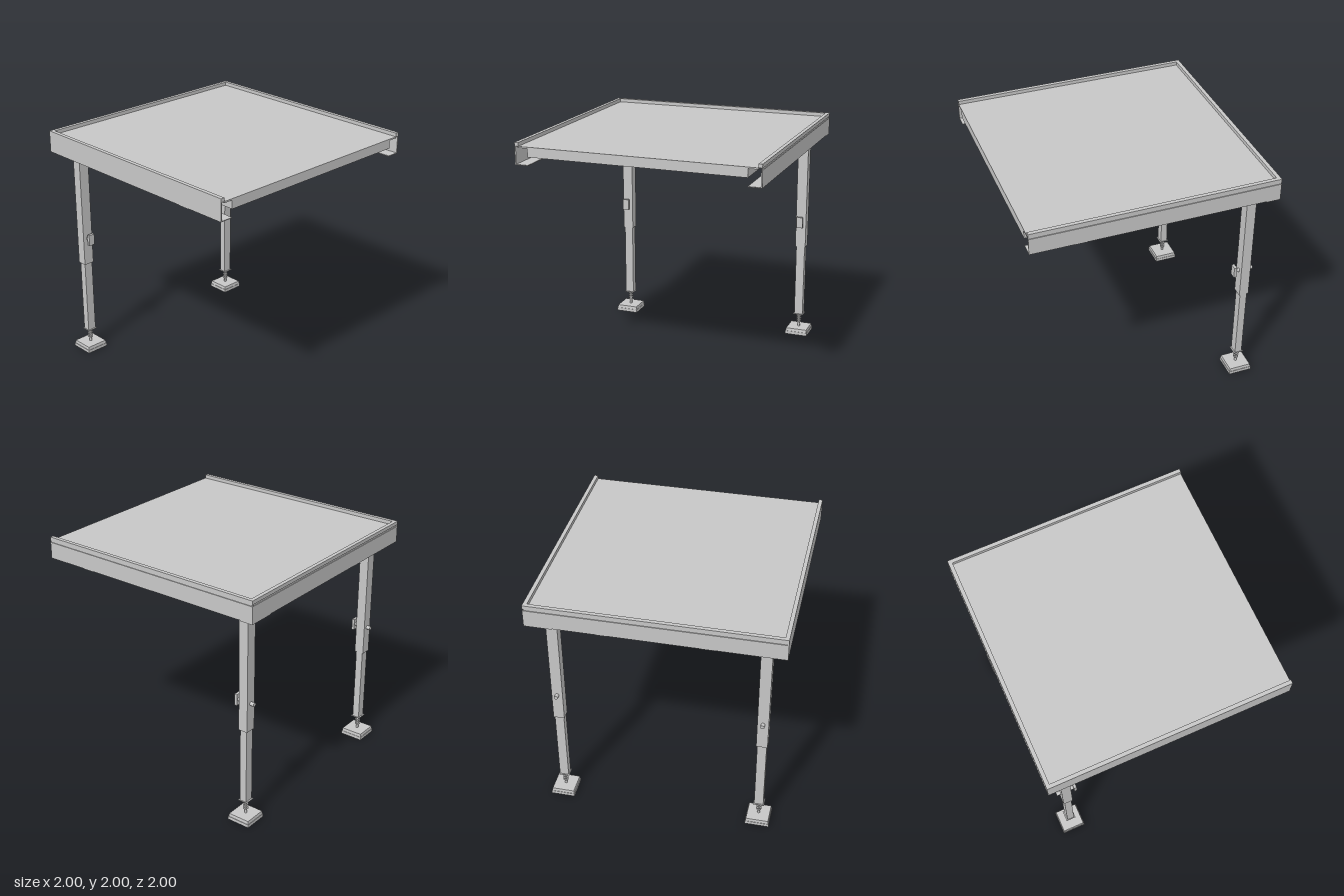
import * as THREE from 'three';

const metal = new THREE.MeshStandardMaterial({ color: 0xc7c7c7 });
metal.name = 'grey metal';

function add(parent, name, geometry, x = 0, y = 0, z = 0) {
  const mesh = new THREE.Mesh(geometry, metal);
  mesh.name = name;
  mesh.position.set(x, y, z);
  parent.add(mesh);
  return mesh;
}

// Box given by its limits on each axis
function block(parent, name, [x0, x1], [y0, y1], [z0, z1]) {
  return add(parent, name, new THREE.BoxGeometry(x1 - x0, y1 - y0, z1 - z0),
    (x0 + x1) / 2, (y0 + y1) / 2, (z0 + z1) / 2);
}

// Edge rail section: bottom flange, thin wall and top lip; u runs inward
function railGeometry(length, grooved) {
  const points = [[0, 0], [0.11, 0], [0.11, 0.006], [0.01, 0.006], [0.01, 0.15], [0.032, 0.15], [0.032, 0.18], [0, 0.18]];
  if (grooved) points.push([0, 0.15], [0.006, 0.15], [0.006, 0.135], [0, 0.135]);
  const shape = new THREE.Shape(points.map(([u, v]) => new THREE.Vector2(u, v)));
  return new THREE.ExtrudeGeometry(shape, { depth: length, bevelEnabled: false });
}

function makeLeg() {
  const leg = new THREE.Group();
  // Telescopic tubes and head
  block(leg, 'outerTube', [-0.04, 0.04], [0.82, 1.84], [-0.045, 0.045]);
  block(leg, 'innerTube', [-0.03, 0.03], [0.18, 0.84], [-0.0375, 0.0375]);
  block(leg, 'legHead', [-0.055, 0.055], [1.83, 1.89], [-0.057, 0.057]);
  block(leg, 'topCollar', [-0.07, 0.05], [1.805, 1.832], [-0.065, 0.075]);
  block(leg, 'latchTab', [-0.075, -0.052], [1.79, 1.826], [0.055, 0.115]);
  // Clamp bolt and its flat grip
  const bolt = add(leg, 'clampBolt', new THREE.CylinderGeometry(0.016, 0.016, 0.15, 16), 0, 1.057, 0);
  bolt.rotation.z = Math.PI / 2;
  block(leg, 'clampGrip', [0.072, 0.095], [1.01, 1.105], [-0.027, 0.027]);
  // Levelling screw with thread rings below a thin end plate
  add(leg, 'levellingScrew', new THREE.CylinderGeometry(0.011, 0.011, 0.14, 12), 0, 0.115, 0);
  block(leg, 'tubeEndPlate', [-0.042, 0.042], [0.176, 0.18], [-0.045, 0.045]);
  for (let i = 0; i < 4; i++) {
    add(leg, 'threadRing', new THREE.CylinderGeometry(0.022, 0.022, 0.003, 12), 0, 0.095 + i * 0.02, 0);
  }
  // Tapered foot
  block(leg, 'footBase', [-0.099, 0.099], [0, 0.028], [-0.099, 0.099]);
  const top = new THREE.CylinderGeometry(0.092 * Math.SQRT2, 0.096 * Math.SQRT2, 0.027, 4).toNonIndexed();
  top.computeVertexNormals();
  top.rotateY(Math.PI / 4);
  add(leg, 'footTop', top, 0, 0.0405, 0);
  return leg;
}

export function createModel() {
  const model = new THREE.Group();
  model.name = 'stagePlatform';

  // Thin deck on an inner frame of channels, with a middle beam
  block(model, 'deck', [-0.97, 1], [1.958, 1.97], [-0.968, 0.968]);
  for (const s of [-1, 1]) {
    block(model, 'frameWeb', [-0.89, 0.999], [1.89, 1.96], [s * 0.885 - 0.005, s * 0.885 + 0.005]);
    block(model, 'frameFlange', [-0.89, 0.999], [1.89, 1.896], [s * 0.865 - 0.025, s * 0.865 + 0.025]);
  }
  block(model, 'leftFrameWeb', [-0.89, -0.88], [1.89, 1.96], [-0.885, 0.885]);
  block(model, 'leftFrameFlange', [-0.89, -0.84], [1.89, 1.896], [-0.885, 0.885]);
  block(model, 'openFrameWeb', [0.99, 1], [1.89, 1.96], [-0.89, 0.89]);
  block(model, 'openFrameFlange', [0.95, 1], [1.89, 1.896], [-0.89, 0.89]);
  block(model, 'crossBeam', [-0.025, 0.025], [1.89, 1.96], [-0.885, 0.885]);

  // Rails on three sides
  const front = add(model, 'frontRail', railGeometry(2, false), -1, 1.82, 1);
  front.rotation.y = Math.PI / 2;
  const back = add(model, 'backRail', railGeometry(2, true), 1, 1.82, -1);
  back.rotation.y = -Math.PI / 2;
  add(model, 'leftRail', railGeometry(1.99, true), -1, 1.82, -0.995);

  // Connector plates under the rails
  for (const s of [-1, 1]) {
    block(model, 'longRailPlate', [0.55, 0.65], [1.814, 1.828], [s * 0.945 - 0.05, s * 0.945 + 0.05]);
    block(model, 'sideRailPlate', [-0.995, -0.895], [1.814, 1.828], [s * 0.4 - 0.05, s * 0.4 + 0.05]);
  }
  block(model, 'cornerPlate', [-1, -0.89], [1.814, 1.824], [-1, -0.78]);

  // Legs with flat corner braces and deck plates
  for (const s of [-1, 1]) {
    const leg = makeLeg();
    leg.name = s > 0 ? 'frontLeg' : 'backLeg';
    leg.position.set(-0.83, 0, s * 0.83);
    model.add(leg);
    const brace = add(model, 'cornerBrace', new THREE.BoxGeometry(0.45, 0.01, 0.05), -0.775, 1.83, s * 0.775);
    brace.rotation.y = -s * Math.PI / 4;
    add(model, 'deckPlate', new THREE.BoxGeometry(0.2, 0.008, 0.2), -0.71, 1.955, s * 0.71);
  }
  return model;
}
